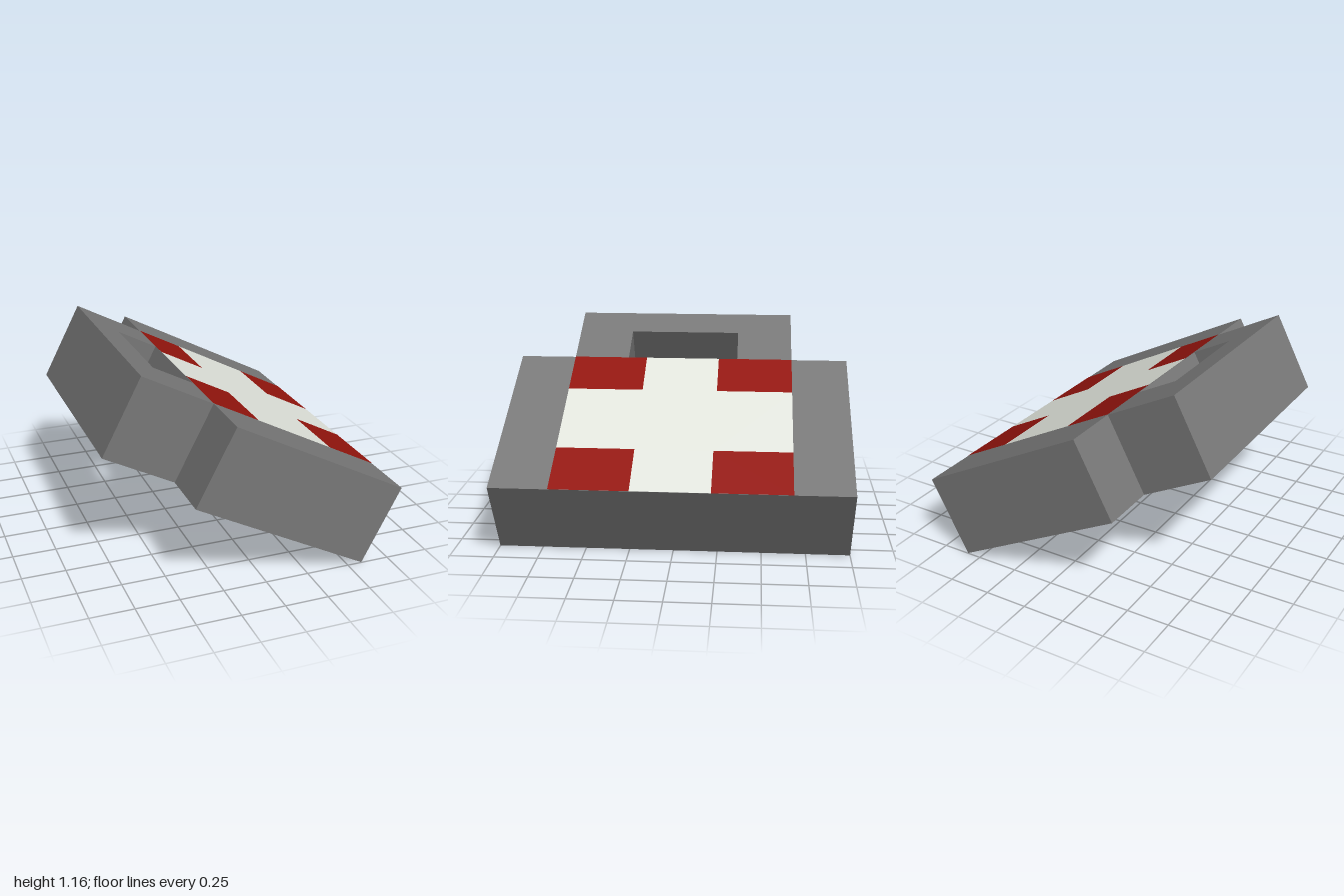
import * as THREE from 'three';

const THICK = 0.485, TILT = -0.482;
const U0 = -0.787, HOLE = -0.596, U1 = -0.336, U2 = -0.037, U3 = 0.465, U4 = 0.787; // stations along the slope
const W = 0.667, ARM = 0.222, GRIP = 0.335; // half widths

const polygon = pts => new THREE.Shape(pts.map(p => new THREE.Vector2(...p)));
const rect = (x0, x1, y0, y1) => polygon([[x0, y0], [x1, y0], [x1, y1], [x0, y1]]);

export function createModel() {
  const model = new THREE.Group();
  model.name = 'firstAidCase';
  const material = color => new THREE.MeshStandardMaterial({ color });
  const grey = material(0x787878), red = material(0x93140d), white = material(0xe2e5dd);

  const tilted = new THREE.Group();
  tilted.name = 'case';
  tilted.rotation.z = TILT;
  tilted.position.y = 0.58;
  model.add(tilted);

  const add = (name, geometry, mat) => {
    const mesh = new THREE.Mesh(geometry, mat);
    mesh.name = name;
    tilted.add(mesh);
    return mesh;
  };

  // Main case
  add('body', new THREE.BoxGeometry(U4 - U1, THICK, 2), grey).position.x = (U1 + U4) / 2;

  // U-shaped carrying handle, open towards the body
  const u = polygon([[U0, -W], [U1, -W], [U1, -GRIP], [HOLE, -GRIP],
    [HOLE, GRIP], [U1, GRIP], [U1, W], [U0, W]]);
  add('handle', new THREE.ExtrudeGeometry(u, { depth: THICK, bevelEnabled: false })
    .translate(0, 0, -THICK / 2).rotateX(-Math.PI / 2), grey);

  // Cross with coloured corners, on the upper and lower faces
  const cross = polygon([[U1, -ARM], [U2, -ARM], [U2, -W], [U3, -W], [U3, -ARM], [U4, -ARM],
    [U4, ARM], [U3, ARM], [U3, W], [U2, W], [U2, ARM], [U1, ARM]]);
  const corners = [];
  for (const [a, b] of [[U1, U2], [U3, U4]]) {
    corners.push(rect(a, b, ARM, W), rect(a, b, -W, -ARM));
  }
  for (const side of [1, -1]) {
    const label = side > 0 ? 'upper' : 'lower';
    const lay = shape => new THREE.ShapeGeometry(shape)
      .rotateX(-side * Math.PI / 2).translate(0, side * (THICK / 2 + 0.002), 0);
    add(label + 'Cross', lay(cross), white);
    add(label + 'Corners', lay(corners), red);
  }
  return model;
}
